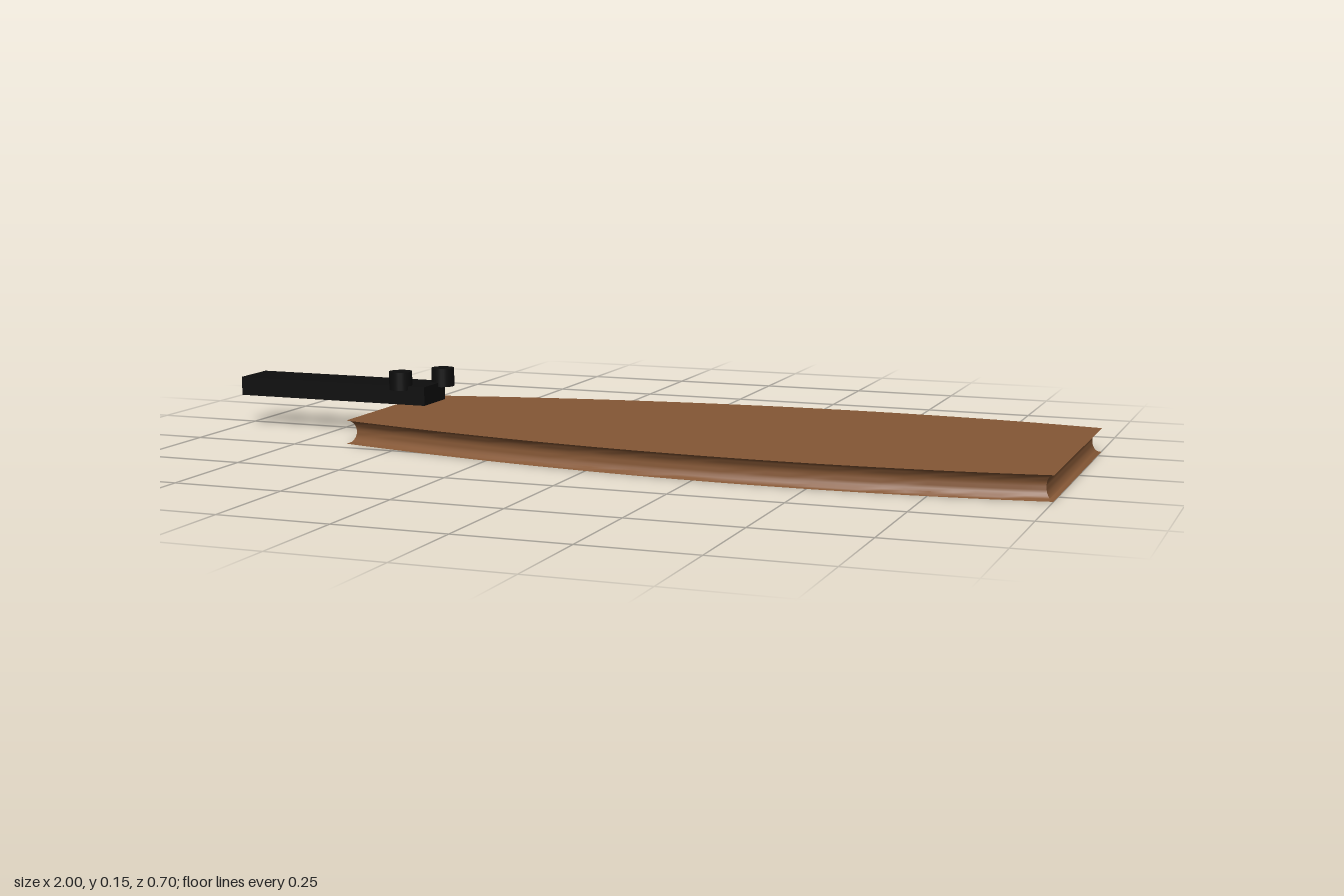
import * as THREE from 'three';
import { toCreasedNormals } from 'three/addons/utils/BufferGeometryUtils.js';

const HEIGHT = 0.054;   // board thickness
const GROOVE = 0.018;   // depth of the hollow edge
const SIDE_STEPS = 32;
const EDGE_STEPS = 12;

// Closed outline of the board as [x, z], drawn inwards by an inset
function outline(inset) {
  const side = new THREE.QuadraticBezierCurve(
    new THREE.Vector2(-0.64, 0.204),
    new THREE.Vector2(0.24, 0.43),
    new THREE.Vector2(1, 0.302),
  ).getPoints(SIDE_STEPS).map(p => [
    THREE.MathUtils.mapLinear(p.x, -0.64, 1, -0.64 + inset, 1 - inset),
    p.y - inset,
  ]);
  return [...side, ...side.map(([x, z]) => [x, -z]).reverse()];
}

// Board lofted from stacked outlines whose edge follows a half ellipse
function boardGeometry() {
  const positions = [];
  const indices = [];
  const count = 2 * (SIDE_STEPS + 1);
  for (let j = 0; j <= EDGE_STEPS; j++) {
    const a = Math.PI * j / EDGE_STEPS;
    const y = HEIGHT / 2 * (1 - Math.cos(a));
    for (const [x, z] of outline(GROOVE * Math.sin(a))) positions.push(x, y, z);
  }
  // hollow edge
  for (let j = 0; j < EDGE_STEPS; j++) {
    for (let i = 0; i < count; i++) {
      const k = (i + 1) % count;
      const a = j * count + i, b = j * count + k;
      indices.push(a, b, b + count, a, b + count, a + count);
    }
  }
  // flat bottom and top, in strips across the board
  const top = EDGE_STEPS * count;
  for (let i = 0; i < SIDE_STEPS; i++) {
    const a = i, b = i + 1, c = count - 2 - i, d = count - 1 - i;
    indices.push(top + a, top + b, top + c, top + a, top + c, top + d);
    indices.push(a, c, b, a, d, c);
  }
  const geometry = new THREE.BufferGeometry();
  geometry.setAttribute('position', new THREE.Float32BufferAttribute(positions, 3));
  geometry.setIndex(indices);
  return toCreasedNormals(geometry, 0.7);
}

export function createModel() {
  const wood = new THREE.MeshStandardMaterial({ color: 0x855735 });
  wood.name = 'brown wood';
  const black = new THREE.MeshStandardMaterial({ color: 0x0d0d0d });
  black.name = 'black';

  const model = new THREE.Group();
  model.name = 'grooved board with bar';

  function add(name, geometry, material, x, y, z) {
    const mesh = new THREE.Mesh(geometry, material);
    mesh.name = name;
    mesh.position.set(x, y, z);
    model.add(mesh);
  }

  add('board', boardGeometry(), wood, 0, 0, 0);

  // bar hovering over the narrow end
  add('bar', new THREE.BoxGeometry(0.487, 0.044, 0.112), black, -0.7565, 0.095, 0);

  // two staggered pegs on the bar
  const peg = new THREE.CylinderGeometry(0.027, 0.027, 0.043, 24);
  add('frontPeg', peg, black, -0.579, 0.1285, 0.045);
  add('backPeg', peg, black, -0.513, 0.1285, -0.045);

  return model;
}
